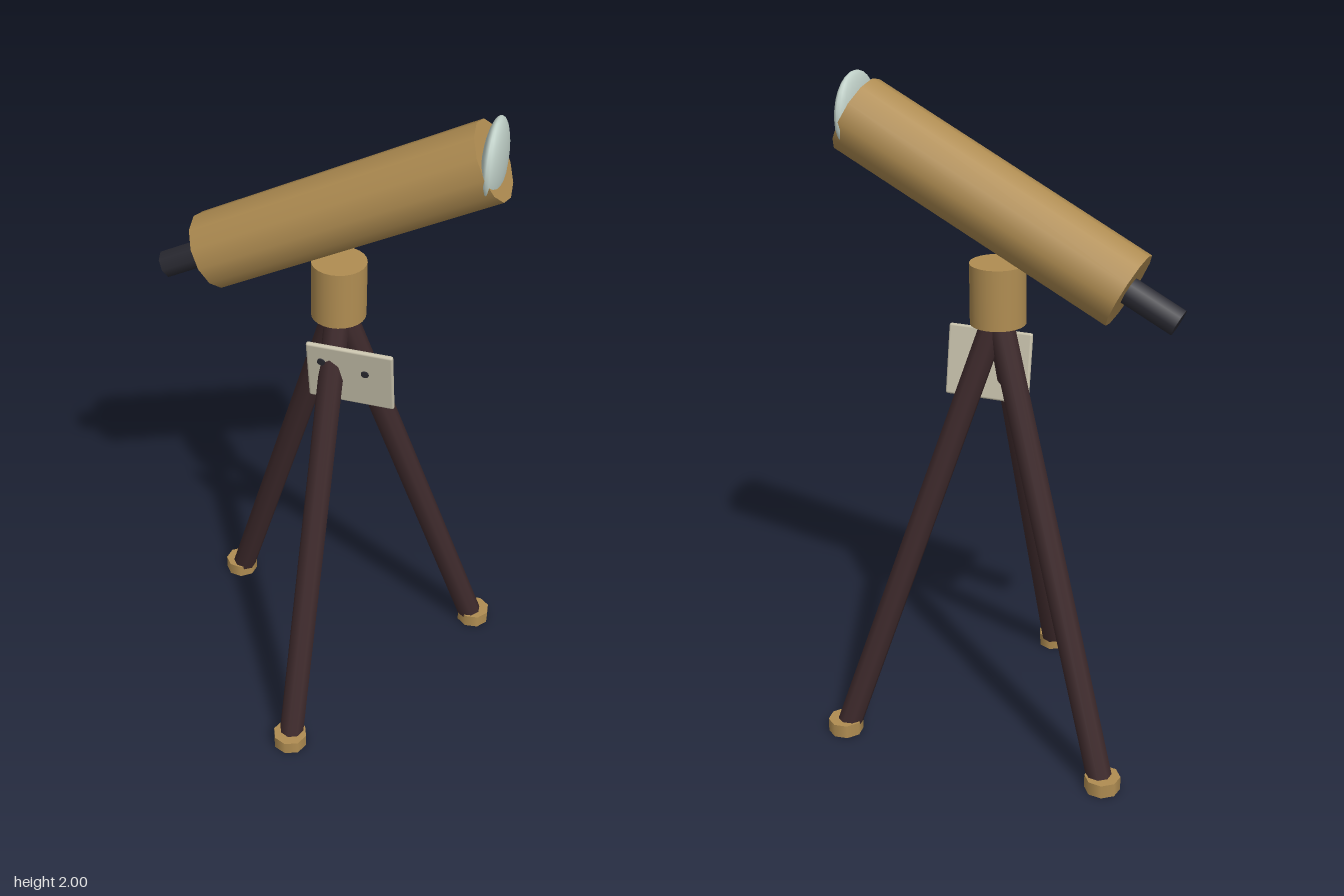
import * as THREE from 'three';
import { RoundedBoxGeometry } from 'three/addons/geometries/RoundedBoxGeometry.js';

const mat = (name, color) => {
  const m = new THREE.MeshStandardMaterial({ color });
  m.name = name;
  return m;
};

export function createModel() {
  const brass = mat('brass', 0xb08d52);
  const wood = mat('dark wood', 0x3e2a2c);
  const black = mat('black', 0x2a2a32);
  const plateColor = mat('pale metal', 0xc8c2ac);
  const glass = mat('glass', 0xc0d0c8);

  const model = new THREE.Group();
  model.name = 'telescope';
  const CX = 0.035, CZ = -0.12; // vertical axis of the tripod

  const add = (name, geometry, material, parent = model) => {
    const mesh = new THREE.Mesh(geometry, material);
    mesh.name = name;
    parent.add(mesh);
    return mesh;
  };

  // Tripod: three splayed legs with brass feet
  for (let i = 0; i < 3; i++) {
    const leg = new THREE.Group();
    leg.name = ['frontLeg', 'leftLeg', 'rightLeg'][i];
    leg.position.set(CX, 0, CZ);
    leg.rotation.y = (i * Math.PI * 2) / 3;
    model.add(leg);

    const spread = 0.473, low = 0.025, high = 1.35;
    const length = Math.hypot(spread, high - low);
    const shaft = add('legShaft', new THREE.CylinderGeometry(0.038, 0.038, length, 8), wood, leg);
    shaft.position.set(0, (low + high) / 2, spread / 2);
    shaft.rotation.x = -Math.atan2(spread, high - low);

    const foot = add('foot', new THREE.CylinderGeometry(0.053, 0.053, 0.042, 8), brass, leg);
    foot.position.set(0, 0.021, 0.485);
  }

  // Mount on top of the tripod
  add('mount', new THREE.CylinderGeometry(0.081, 0.081, 0.178, 24), brass).position.set(CX, 1.404, CZ);

  // Plate leaning on the front leg, with two dark studs
  const plate = new THREE.Group();
  plate.name = 'plate';
  plate.position.set(0.095, 1.155, -0.047);
  plate.rotation.x = 0.18;
  model.add(plate);
  add('plateBody', new RoundedBoxGeometry(0.262, 0.212, 0.016, 2, 0.007), plateColor, plate);
  for (const [x, y] of [[-0.085, 0.045], [0.047, 0.025]]) {
    const stud = add('stud', new THREE.CylinderGeometry(0.012, 0.012, 0.022, 10), black, plate);
    stud.position.set(x, y, 0.001);
    stud.rotation.x = Math.PI / 2;
  }

  // Tilted barrel and eyepiece share one axis, which is local y
  const barrel = new THREE.Group();
  barrel.name = 'barrel';
  barrel.position.set(0.0525, 1.669, -0.122);
  barrel.rotation.z = -Math.PI / 2 + 0.48;
  model.add(barrel);
  add('barrelTube', new THREE.CylinderGeometry(0.115, 0.115, 0.912, 12), brass, barrel);
  add('eyepiece', new THREE.CylinderGeometry(0.042, 0.042, 0.2, 8), black, barrel).position.y = -0.519;

  // Upright lens, partly sunk into the barrel's end
  const lens = add('lens', new THREE.SphereGeometry(0.117, 20, 14), glass);
  lens.scale.x = 0.26;
  lens.position.set(0.46, 1.883, -0.122);

  return model;
}
